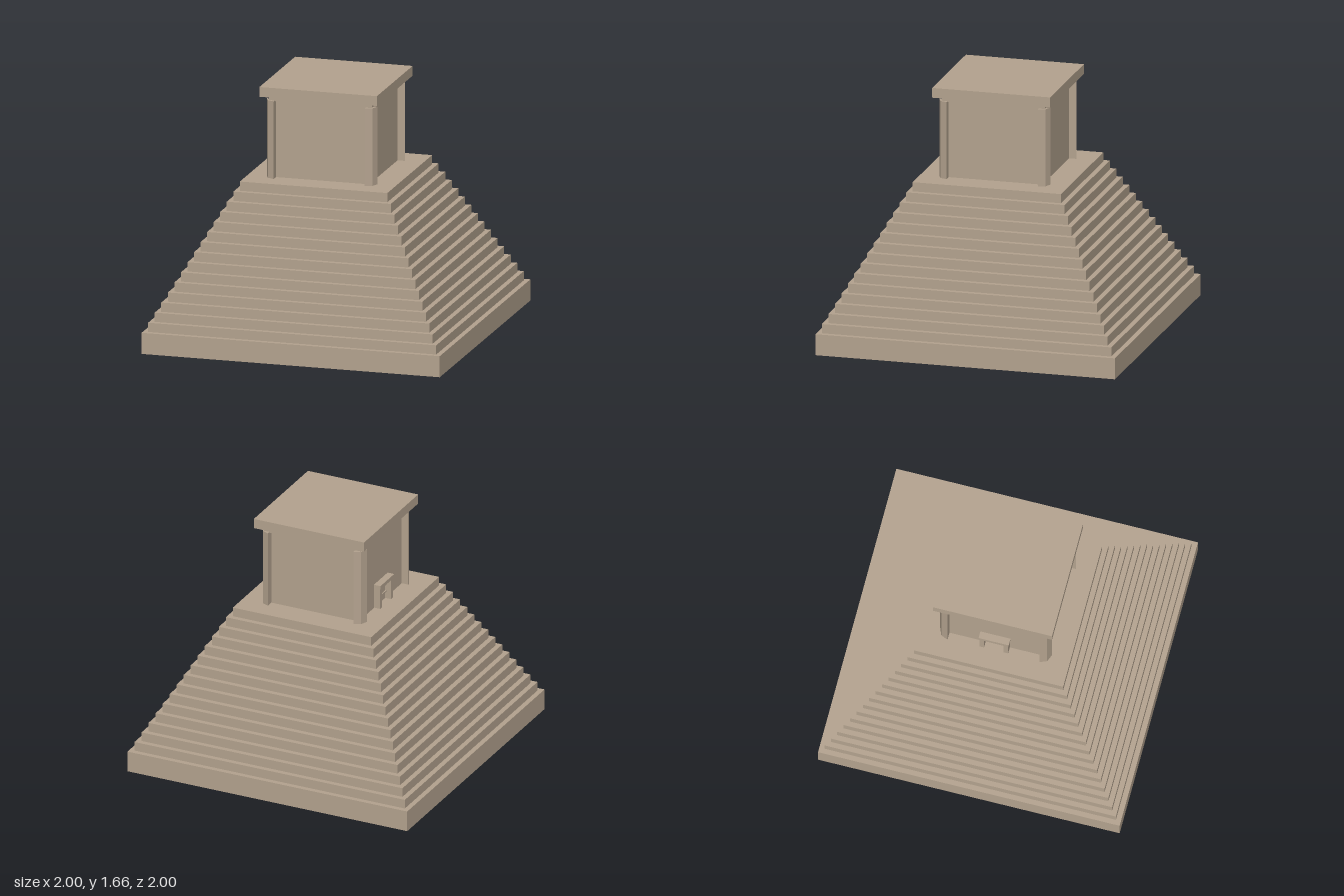
import * as THREE from 'three';

export function createModel() {
  const model = new THREE.Group();
  model.name = 'steppedTemple';
  const stone = new THREE.MeshStandardMaterial({ color: 0xb3a28e });
  stone.name = 'sandstone';

  const add = (name, geometry, x, y, z, parent = model) => {
    const mesh = new THREE.Mesh(geometry, stone);
    mesh.name = name;
    mesh.position.set(x, y, z);
    parent.add(mesh);
    return mesh;
  };
  // box standing on height y0
  const block = (name, w, h, d, x, y0, z, parent) =>
    add(name, new THREE.BoxGeometry(w, h, d), x, y0 + h / 2, z, parent);

  // stepped pyramid: a tall plinth and fifteen equal tiers
  const pyramid = new THREE.Group();
  pyramid.name = 'pyramid';
  model.add(pyramid);
  const plinthH = 0.14, tierH = 0.061, tiers = 15;
  block('plinth', 2, plinthH, 2, 0, 0, 0, pyramid);
  for (let i = 1; i <= tiers; i++) {
    const w = 2 * (1 - i * 0.0337);
    block('tier' + i, w, tierH, w, 0, plinthH + (i - 1) * tierH, 0, pyramid);
  }
  const floor = plinthH + tiers * tierH;

  // temple chamber, frieze and roof slab
  block('chamber', 0.64, 1.565 - floor, 0.64, 0, floor, 0);
  block('frieze', 0.69, 0.035, 0.69, 0, 1.565, 0);
  block('roofSlab', 0.788, 0.065, 0.788, 0, 1.6, 0);

  // faceted corner pillars, one turned to each corner
  const outline = [[0.305, 0.305], [0.37, 0.305], [0.351, 0.351], [0.305, 0.37]];
  const section = new THREE.Shape(outline.map(([x, z]) => new THREE.Vector2(x, z)));
  const pillar = new THREE.ExtrudeGeometry(section, { depth: 1.57 - floor, bevelEnabled: false });
  pillar.rotateX(-Math.PI / 2);
  for (let i = 0; i < 4; i++) {
    add('cornerPillar', pillar, 0, floor, 0).rotation.y = i * Math.PI / 2;
  }

  // small doorway on the -x wall
  const door = new THREE.Group();
  door.name = 'doorway';
  model.add(door);
  for (const s of [-1, 1]) block('doorPost', 0.045, 0.14, 0.03, -0.34, floor, s * 0.08, door);
  block('lintel', 0.05, 0.025, 0.2, -0.342, floor + 0.14, 0, door);
  for (const y of [0.045, 0.095]) block('doorRail', 0.008, 0.01, 0.13, -0.324, floor + y, 0, door);

  return model;
}
